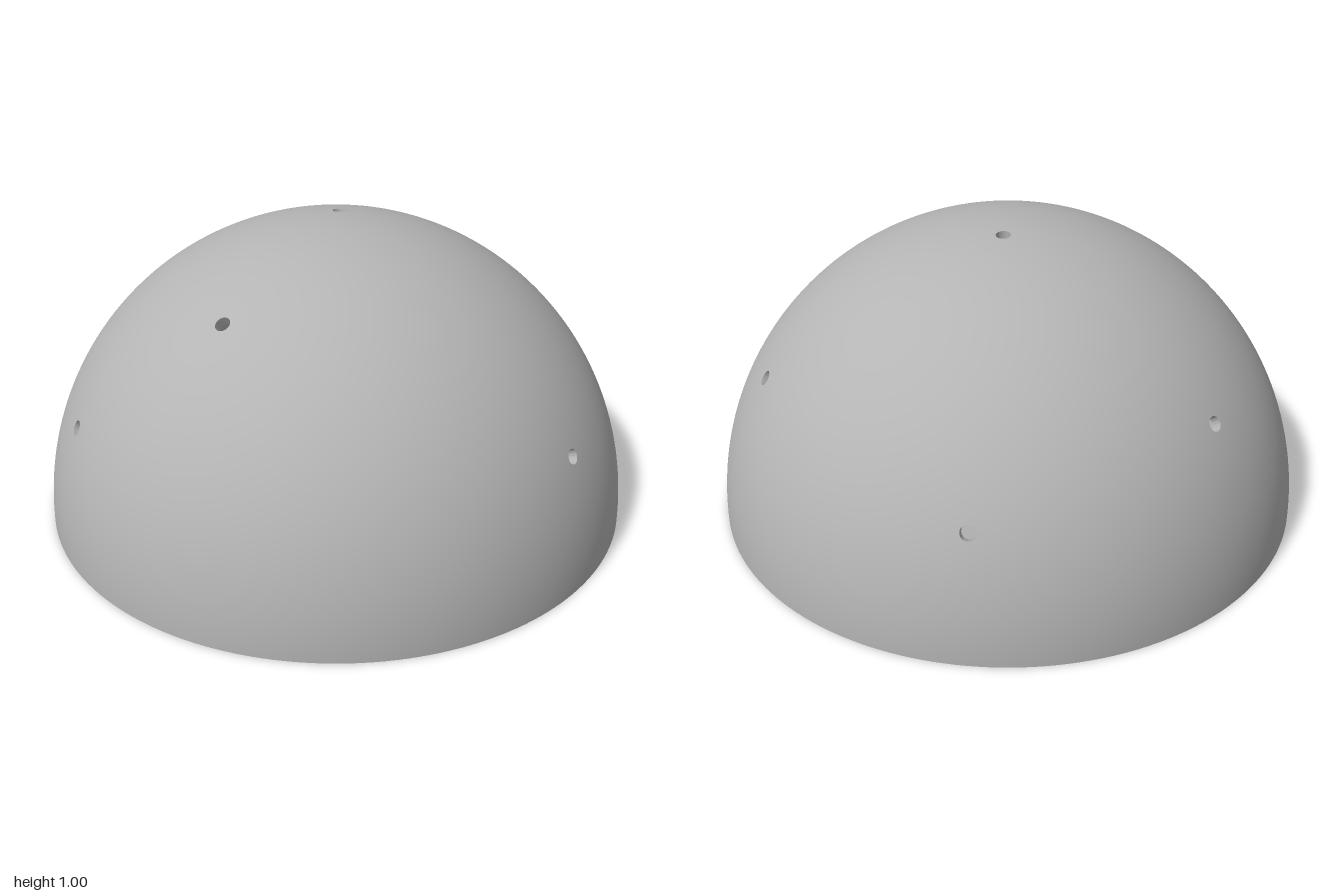
import * as THREE from 'three';

const ROWS = 72, COLS = 192;
const OUTER = 1, INNER = 0.97;
const HOLE = 0.025, CLEAR = 0.042; // hole radius, and radius cleared of grid cells

// Hole centres on the dome
const holes = [
  [0, 0.993, -0.117], [-0.285, 0.824, 0.489],
  [0.787, 0.42, 0.455], [-0.787, 0.42, 0.455],
  [0, 0.41, -0.912], [-0.69, 0.553, -0.467], [0.746, 0.558, -0.364],
].map((p) => new THREE.Vector3(...p).normalize());

// Latitude rows and longitude columns, nudged to meet the notch edges
const lat = Array.from({ length: ROWS + 1 }, (_, i) => (i / ROWS) * Math.PI / 2);
const lon = Array.from({ length: COLS }, (_, j) => (j / COLS) * Math.PI * 2);
lat[2] = Math.asin(0.053);
lat[3] = Math.asin(0.072);
const wide = Math.asin(0.0695), narrow = Math.asin(0.0295);
lon[2] = wide;
lon[COLS - 2] = 2 * Math.PI - wide;
lon[COLS / 2 - 1] = Math.PI - narrow;
lon[COLS / 2 + 1] = Math.PI + narrow;

const wrap = (j) => (j + COLS) % COLS;
const grid = lat.map((a) => lon.map((b) => new THREE.Vector3(
  Math.cos(a) * Math.cos(b), Math.sin(a), -Math.cos(a) * Math.sin(b))));
const at = (i, j) => grid[i][wrap(j)];

// What removes a cell: a hole centre, 'notch', or null when it stays
function cutAt(i, j) {
  if (i < 0) return 'rim';
  if (i >= ROWS) return null;
  j = wrap(j);
  if (i < 3 && (j < 2 || j >= COLS - 2)) return 'notch';
  if (i < 2 && (j === COLS / 2 - 1 || j === COLS / 2)) return 'notch';
  const corners = [at(i, j), at(i, j + 1), at(i + 1, j + 1), at(i + 1, j)];
  return holes.find((c) => corners.some((v) => v.distanceTo(c) < CLEAR)) || null;
}

// Collects quads, with smooth spherical normals when sign is given
class Surface {
  constructor(sign = 0) {
    this.sign = sign;
    this.pos = [];
    this.nor = [];
  }
  quad(a, b, c, d) {
    for (const v of [a, b, c, a, c, d]) {
      this.pos.push(v.x, v.y, v.z);
      const n = v.clone().normalize().multiplyScalar(this.sign);
      this.nor.push(n.x, n.y, n.z);
    }
  }
  mesh(name, material) {
    const g = new THREE.BufferGeometry();
    g.setAttribute('position', new THREE.Float32BufferAttribute(this.pos, 3));
    if (this.sign) g.setAttribute('normal', new THREE.Float32BufferAttribute(this.nor, 3));
    else g.computeVertexNormals();
    const m = new THREE.Mesh(g, material);
    m.name = name;
    return m;
  }
}

// Moves a direction onto the circle around a hole centre
function onHole(v, c) {
  const t = v.clone().addScaledVector(c, -v.dot(c)).normalize();
  return c.clone().multiplyScalar(Math.cos(HOLE)).addScaledVector(t, Math.sin(HOLE));
}

export function createModel() {
  const grey = new THREE.MeshStandardMaterial({ color: 0xb4b4b4 });
  grey.name = 'grey';
  const outer = new Surface(1), inner = new Surface(-1);
  const rim = new Surface(), bores = new Surface();
  const out = (v) => v.clone().multiplyScalar(OUTER);
  const inn = (v) => v.clone().multiplyScalar(INNER);

  // Both skins of the shell at once
  const skin = (a, b, c, d) => {
    outer.quad(out(a), out(b), out(c), out(d));
    inner.quad(inn(d), inn(c), inn(b), inn(a));
  };
  // Thickness of the shell along an open edge
  const wall = (s, p, q) => s.quad(out(q), out(p), inn(p), inn(q));

  for (let i = 0; i < ROWS; i++) {
    for (let j = 0; j < COLS; j++) {
      if (cutAt(i, j)) continue;
      const a = at(i, j), b = at(i, j + 1), c = at(i + 1, j + 1), d = at(i + 1, j);
      skin(a, b, c, d);
      const edges = [
        [a, b, i - 1, j], [b, c, i, j + 1], [c, d, i + 1, j], [d, a, i, j - 1],
      ];
      for (const [p, q, ni, nj] of edges) {
        const cut = cutAt(ni, nj);
        if (!cut) continue;
        if (typeof cut === 'string') {
          wall(rim, p, q); // bottom rim and notch sides
        } else {
          const p2 = onHole(p, cut), q2 = onHole(q, cut);
          skin(q, p, p2, q2);
          wall(bores, p2, q2);
        }
      }
    }
  }

  const group = new THREE.Group();
  group.name = 'dome';
  group.add(
    outer.mesh('outerShell', grey),
    inner.mesh('innerShell', grey),
    rim.mesh('rimAndNotches', grey),
    bores.mesh('holeWalls', grey),
  );
  return group;
}
